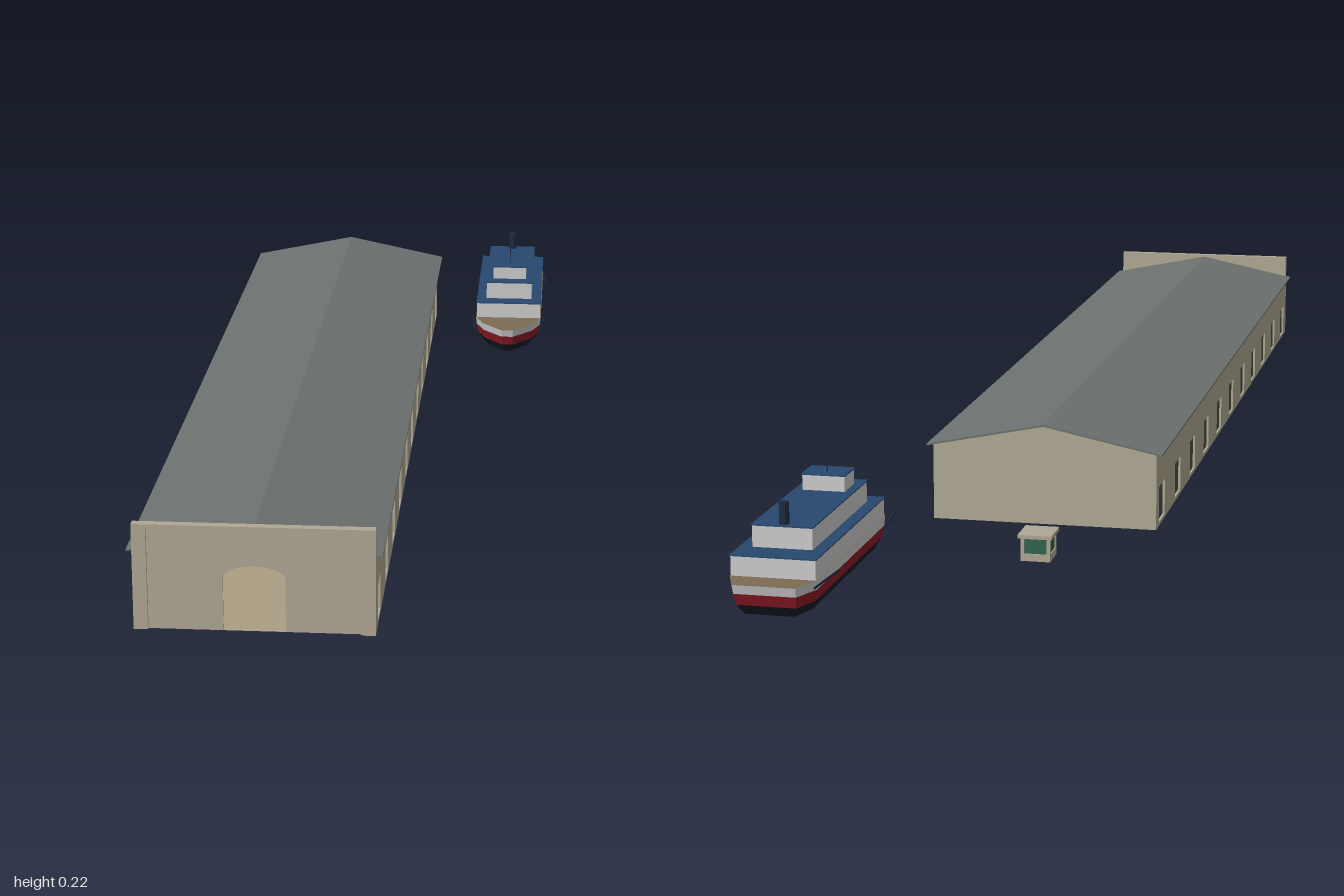
import * as THREE from 'three';

const mat = (color) => new THREE.MeshStandardMaterial({ color, flatShading: true, side: THREE.DoubleSide });
const M = {
  wall: mat(0xb0a894), roof: mat(0x6c7270), glass: mat(0x4c4c4a), door: mat(0xc6b898),
  white: mat(0xcccccc), blue: mat(0x27486e), navy: mat(0x1c2a3e), deck: mat(0x7d6c54),
  red: mat(0x8e1a26), black: mat(0x161c26), green: mat(0x2f6350),
};
const HEADING = -0.316; // everything is moored at the same angle

function add(parent, name, geometry, material, x = 0, y = 0, z = 0) {
  const mesh = new THREE.Mesh(geometry, material);
  mesh.name = name;
  mesh.position.set(x, y, z);
  parent.add(mesh);
  return mesh;
}
// box standing on y
const block = (parent, name, w, h, d, material, x, y, z) =>
  add(parent, name, new THREE.BoxGeometry(w, h, d), material, x, y + h / 2, z);
const polygon = (pts) => new THREE.Shape(pts.map(([x, y]) => new THREE.Vector2(x, y)));
const extrude = (shape, depth) =>
  new THREE.ExtrudeGeometry(shape, { depth, bevelEnabled: false, curveSegments: 10 }).translate(0, 0, -depth / 2);

function archPath(path, w, spring, top) {
  path.moveTo(-w / 2, 0.056).lineTo(w / 2, 0.056).lineTo(w / 2, spring);
  path.absellipse(0, spring, w / 2, top - spring, 0, Math.PI, false);
  path.lineTo(-w / 2, 0.056);
  return path;
}

function buildShed() {
  const g = new THREE.Group();
  g.name = 'shed';
  const L = 1.7, W = 0.368, base = 0.055, eave = 0.18, ridge = 0.218, t = 0.008;

  // side walls with a row of recessed windows
  const count = 11, step = 0.159, ww = 0.056;
  for (const s of [-1, 1]) {
    const wall = polygon([[-L / 2, base], [L / 2, base], [L / 2, eave], [-L / 2, eave]]);
    for (let i = 0; i < count; i++) {
      const u = (i - (count - 1) / 2) * step;
      wall.holes.push(polygon([[u - ww / 2, 0.061], [u - ww / 2, 0.12], [u + ww / 2, 0.12], [u + ww / 2, 0.061]]));
      block(g, 'window', 0.002, 0.059, ww, M.glass, s * (W / 2 - t * 0.6), 0.061, u);
    }
    add(g, 'sideWall', extrude(wall, t), M.wall, s * (W / 2 - t / 2)).rotation.y = Math.PI / 2;
  }

  // rear gable
  const gable = polygon([[-W / 2, base], [W / 2, base], [W / 2, eave], [0, ridge], [-W / 2, eave]]);
  add(g, 'rearGable', extrude(gable, t), M.wall, 0, 0, -L / 2 + t / 2);

  // front parapet wall with arched door
  const front = polygon([[-W / 2, base], [W / 2, base], [W / 2, 0.221], [-W / 2, 0.221]]);
  front.holes.push(archPath(new THREE.Path(), 0.095, 0.14, 0.16));
  add(g, 'frontWall', extrude(front, t), M.wall, 0, 0, L / 2 + t / 2);
  add(g, 'archedDoor', extrude(archPath(new THREE.Shape(), 0.095, 0.14, 0.16), 0.003), M.door, 0, 0, L / 2 + 0.003);
  for (const s of [-1, 1]) block(g, 'pilaster', 0.022, 0.17, 0.014, M.wall, s * (W / 2 - 0.011), base, L / 2 + 0.006);
  block(g, 'cornice', W, 0.005, 0.014, M.wall, 0, 0.22, L / 2 + 0.006);

  // pitched roof with small eaves
  const e = 0.194, th = 0.003;
  const roof = polygon([[-e, eave - 0.002], [0, ridge], [e, eave - 0.002], [e, eave + th - 0.002], [0, ridge + th], [-e, eave + th - 0.002]]);
  add(g, 'roof', extrude(roof, 1.712), M.roof);

  g.position.set(-0.1625, 0, 0.12);
  g.rotation.y = HEADING;
  return g;
}

// Hull outline: [half width, z] from stern to bow, drawn in toward the keel
const OUTLINE = [[0.05, -0.262], [0.069, -0.215], [0.069, 0.163], [0.052, 0.21], [0.012, 0.258]];
function ring(y, wide, long) {
  const half = OUTLINE.map(([x, z]) => [x * wide, y, z * long]);
  return [...half, ...half.slice().reverse().map(([x, yy, z]) => [-x, yy, z])];
}
function band(a, b) {
  const v = [];
  a.forEach((p, i) => {
    const j = (i + 1) % a.length;
    v.push(...p, ...b[i], ...b[j], ...p, ...b[j], ...a[j]);
  });
  const geo = new THREE.BufferGeometry();
  geo.setAttribute('position', new THREE.Float32BufferAttribute(v, 3));
  geo.computeVertexNormals();
  return geo;
}
function cap(r) {
  const geo = new THREE.ShapeGeometry(polygon(r.map(([x, , z]) => [x, -z])));
  return geo.rotateX(-Math.PI / 2);
}

function buildFerry() {
  const g = new THREE.Group();
  g.name = 'ferry';

  // hull in painted bands
  const rings = [ring(0, 0.78, 0.9), ring(0.018, 0.93, 0.96), ring(0.037, 0.98, 0.985), ring(0.052, 1, 1)];
  ['hullBottom', 'waterlineBand', 'hullSide'].forEach((name, i) =>
    add(g, name, band(rings[i], rings[i + 1]), [M.black, M.red, M.white][i]));
  add(g, 'keelPlate', cap(rings[0]), M.black, 0, 0.0, 0);
  add(g, 'mainDeck', cap(rings[3]), M.deck, 0, 0.052, 0);

  // side rails near both ends
  for (const s of [-1, 1]) for (const e of [-1, 1]) {
    const rail = block(g, 'sideRail', 0.002, 0.003, 0.1, M.navy, s * 0.073, 0.043, e * 0.18);
    rail.rotation.y = -s * e * 0.08;
  }

  // stacked cabins, each with a blue roof: [name, width, y, height, z from, z to]
  const cabins = [
    ['lowerCabin', 0.134, 0.05, 0.035, -0.215, 0.163],
    ['upperCabin', 0.096, 0.085, 0.036, -0.167, 0.13],
    ['wheelhouse', 0.07, 0.121, 0.027, 0.048, 0.102],
  ];
  for (const [name, w, y, h, z0, z1] of cabins) {
    block(g, name, w, h - 0.002, z1 - z0, M.white, 0, y, (z0 + z1) / 2);
    block(g, name + 'Roof', w + 0.003, 0.002, z1 - z0 + 0.003, M.blue, 0, y + h - 0.002, (z0 + z1) / 2);
  }

  add(g, 'funnel', new THREE.CylinderGeometry(0.008, 0.008, 0.036, 12), M.navy, 0, 0.138, -0.155);
  add(g, 'mast', new THREE.CylinderGeometry(0.001, 0.001, 0.042, 6), M.navy, 0, 0.169, 0.07);

  g.position.set(0.4715, 0, -0.735);
  g.rotation.y = HEADING;
  return g;
}

function buildBooth() {
  const g = new THREE.Group();
  g.name = 'booth';
  block(g, 'boothBase', 0.048, 0.012, 0.048, M.wall, 0, 0.022, 0);
  block(g, 'boothGlazing', 0.044, 0.026, 0.044, M.green, 0, 0.034, 0);
  for (const x of [-1, 1]) for (const z of [-1, 1])
    block(g, 'boothPost', 0.006, 0.026, 0.006, M.wall, x * 0.021, 0.034, z * 0.021);
  block(g, 'boothRoof', 0.055, 0.006, 0.06, M.wall, 0, 0.06, 0);
  g.position.set(0.119, 0, -0.768);
  g.rotation.y = HEADING;
  return g;
}

export function createModel() {
  const model = new THREE.Group();
  model.name = 'ferryTerminal';
  model.add(buildShed(), buildFerry(), buildBooth());
  return model;
}
